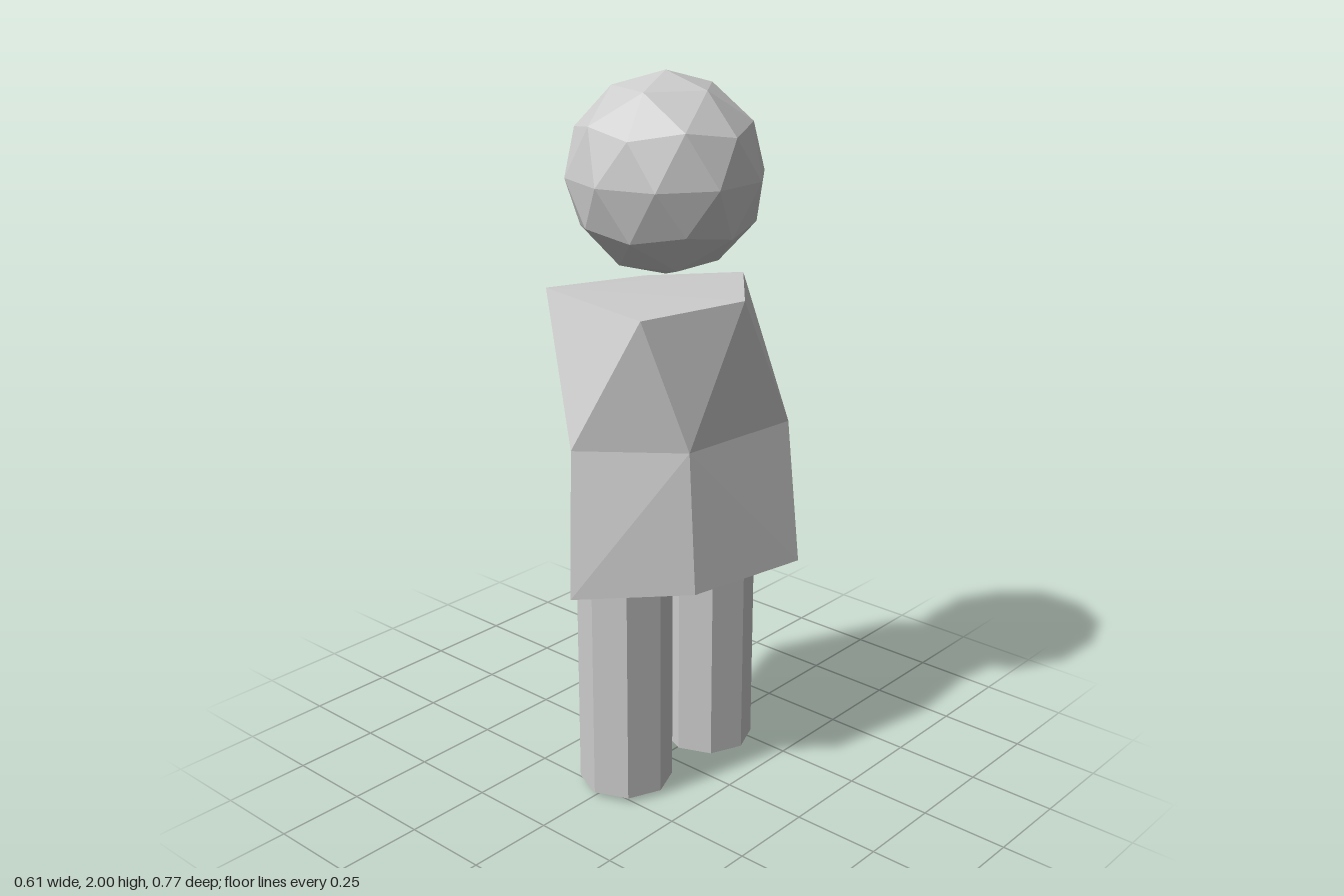
import * as THREE from 'three';

const material = new THREE.MeshStandardMaterial({ color: 0xcccccc, flatShading: true });

// Cross-sections of the torso, each running counter-clockwise seen from above
const hem = [[0.007, 0.645, 0.384], [0.235, 0.645, 0.14], [0.303, 0.645, -0.225],
  [0, 0.645, -0.385], [-0.305, 0.645, -0.225], [-0.2, 0.645, 0.148]];
const waist = [[-0.06, 1.03, 0.305], [0.178, 1.025, 0.1], [0.204, 1.02, -0.293],
  [-0.205, 1.02, -0.32], [-0.264, 1.13, 0.02]];
const shoulders = [[-0.28, 1.41, 0.168], [0.077, 1.385, 0.18], [0.18, 1.397, -0.12],
  [0.005, 1.408, -0.328], [-0.175, 1.408, -0.115]];

// Joins two rings with triangles; each step advances the lower (L) or upper (U) ring
function zip(lower, upper, steps) {
  const triangles = [];
  let l = 0, u = 0;
  for (const step of steps) {
    const a = lower[l % lower.length], c = upper[u % upper.length];
    const next = step === 'L' ? lower[++l % lower.length] : upper[++u % upper.length];
    triangles.push(a, next, c);
  }
  return triangles;
}

// Closes a ring with a fan of triangles
function cap(ring, facingUp) {
  const triangles = [];
  for (let i = 1; i < ring.length - 1; i++) {
    triangles.push(ring[0], ...(facingUp ? [ring[i], ring[i + 1]] : [ring[i + 1], ring[i]]));
  }
  return triangles;
}

function torsoGeometry() {
  const corners = [
    ...cap(hem, false),
    ...zip(hem, waist, 'ULLULULULUL'),
    ...zip(waist, shoulders, 'ULULULULUL'),
    ...cap(shoulders, true),
  ];
  const geometry = new THREE.BufferGeometry();
  geometry.setAttribute('position', new THREE.Float32BufferAttribute(corners.flat(), 3));
  geometry.computeVertexNormals();
  return geometry;
}

export function createModel() {
  const group = new THREE.Group();
  const add = (name, geometry, x = 0, y = 0, z = 0) => {
    const mesh = new THREE.Mesh(geometry, material);
    mesh.name = name;
    mesh.position.set(x, y, z);
    group.add(mesh);
  };

  // Floating faceted head, turned so one corner points straight up
  const headGeometry = new THREE.IcosahedronGeometry(0.267, 1);
  headGeometry.rotateZ(-Math.atan(2 / (1 + Math.sqrt(5))));
  add('head', headGeometry, 0.006, 1.733, 0.002);

  // Irregular faceted torso
  add('torso', torsoGeometry());

  // Eight-sided legs, one behind the other
  for (const [name, bottom, z] of [['frontLeg', 0.015, 0.17], ['backLeg', 0, -0.19]]) {
    const height = 0.7 - bottom;
    add(name, new THREE.CylinderGeometry(0.132, 0.132, height, 8), 0.005, bottom + height / 2, z);
  }
  return group;
}
